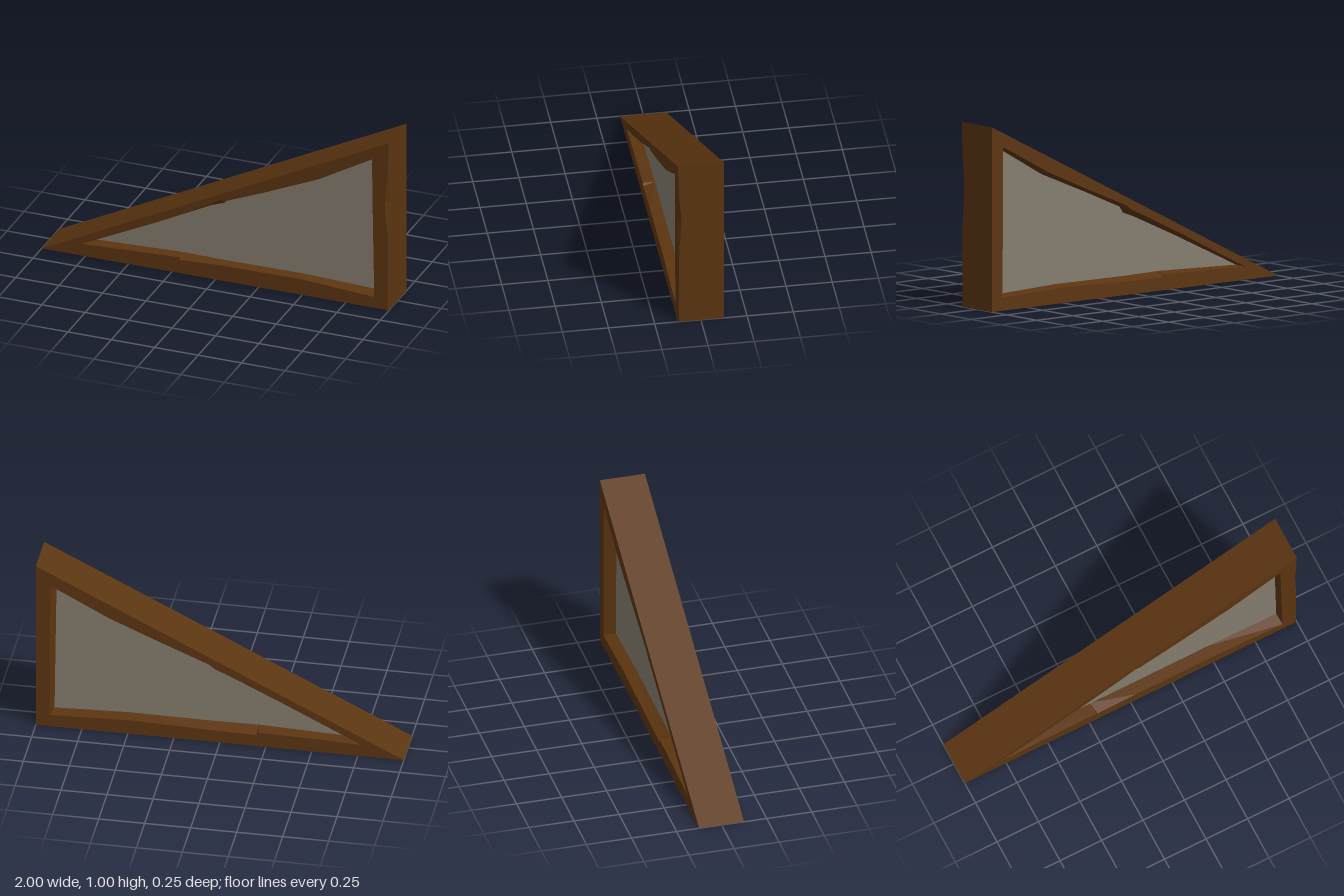
import * as THREE from 'three';

const HALF = 0.125;   // half depth of the timber
const PANEL = 0.06;   // half depth of the recessed infill

// Each beam: place along it, then its width at the front, the infill and the back
const sill = [
  [-0.55, 0.08, 0.083, 0.078],
  [-0.21, 0.094, 0.095, 0.085],
  [-0.2, 0.079, 0.095, 0.07],
  [0.03, 0.09, 0.092, 0.072],
  [0.5, 0.093, 0.095, 0.085],
].map(([x, ...widths]) => ({ outer: [x, 0], inner: widths.map(w => [x, w]), wear: 0 }));

// The post also has a worn front arris
const post = [
  [0.45, 0.092, 0.095, 0.077, 0.008],
  [0.64, 0.095, 0.098, 0.078, 0.021],
  [0.8, 0.097, 0.1, 0.079, 0.008],
].map(([y, f, m, b, wear]) => ({ outer: [1, y], inner: [f, m, b].map(w => [1 - w, y]), wear }));

const rafter = [
  [0.6, 0.088, 0.1, 0.085],
  [0.3, 0.071, 0.074, 0.065],
  [0.055, 0.05, 0.057, 0.045],
  [0.03, 0.033, 0.08, 0.055],
  [-0.05, 0.043, 0.07, 0.05],
  [-0.34, 0.052, 0.056, 0.045],
].map(([x, ...drops]) => {
  const top = (x + 1) / 2;
  return { outer: [x, top], inner: drops.map(d => [x, top - d]), wear: 0 };
});

// Corners join the beams, counter-clockwise
const tip = { outer: [-1, 0], inner: [[-0.77, 0.07], [-0.76, 0.075], [-0.77, 0.07]], wear: 0 };
const foot = { outer: [1, 0], inner: [[0.915, 0.065], [0.91, 0.08], [0.925, 0.07]], wear: 0.006 };
const peak = { outer: [1, 1], inner: [[0.902, 0.885], [0.9, 0.87], [0.92, 0.885]], wear: 0 };
const stations = [tip, ...sill, foot, ...post, peak, ...rafter];

// Timber section at one station, from the infill forward, outside and back
function section({ outer: [x, y], inner: [front, mid, back], wear }) {
  return [
    [...mid, PANEL], [...front, HALF], [x - wear * 1.2, y, HALF], [x, y, HALF - wear],
    [x, y, -HALF], [...back, -HALF], [...mid, -PANEL],
  ];
}

function frameGeometry() {
  const rings = stations.map(section);
  const positions = [];
  rings.forEach((ring, j) => {
    const next = rings[(j + 1) % rings.length];
    for (let i = 0; i < ring.length - 1; i++) {
      const [a, b, c, d] = [ring[i], ring[i + 1], next[i + 1], next[i]];
      positions.push(...a, ...b, ...c, ...a, ...c, ...d);
    }
  });
  const geometry = new THREE.BufferGeometry();
  geometry.setAttribute('position', new THREE.Float32BufferAttribute(positions, 3));
  geometry.computeVertexNormals();
  return geometry;
}

export function createModel() {
  const timber = new THREE.MeshStandardMaterial({ color: 0x5c3511 });
  timber.name = 'dark timber';
  const plaster = new THREE.MeshStandardMaterial({ color: 0x857d6f });
  plaster.name = 'grey plaster';

  const group = new THREE.Group();
  group.name = 'triangularWallFrame';

  // Worn timber frame
  const frame = new THREE.Mesh(frameGeometry(), timber);
  frame.name = 'timberFrame';

  // Recessed infill, bounded by the frame
  const outline = new THREE.Shape(stations.map(s => new THREE.Vector2(...s.inner[1])));
  const infill = new THREE.Mesh(
    new THREE.ExtrudeGeometry(outline, { depth: PANEL * 2, bevelEnabled: false }), plaster);
  infill.position.z = -PANEL;
  infill.name = 'plasterInfill';

  group.add(frame, infill);
  return group;
}
